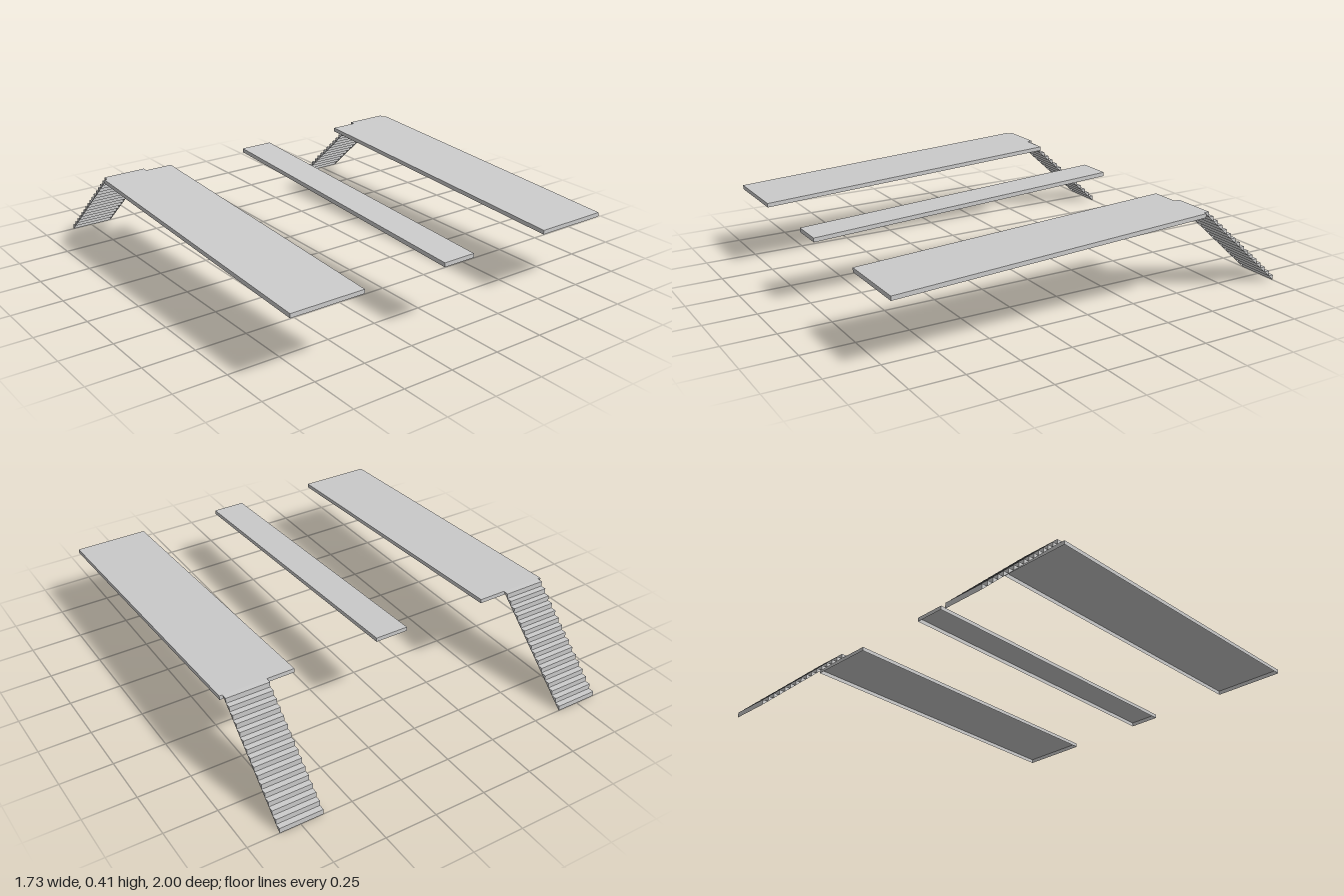
import * as THREE from 'three';

const material = new THREE.MeshStandardMaterial({ color: 0xcccccc, flatShading: true, side: THREE.DoubleSide });
const FRONT = 1, BACK = -0.55, TOP_FRONT = 0.335, TOP_BACK = 0.41, THICK = 0.02;
const STEPS = 16, STAIR_END = -1;

// Sloping slab, open underneath: a box without its bottom, sheared along z
function makeSlab(name, x0, x1) {
  const geo = new THREE.BoxGeometry(x1 - x0, THICK, FRONT - BACK);
  const index = Array.from(geo.index.array);
  index.splice(18, 6); // bottom face
  geo.setIndex(index);
  geo.clearGroups();
  geo.translate((x0 + x1) / 2, -THICK / 2, (FRONT + BACK) / 2);
  const p = geo.attributes.position;
  for (let i = 0; i < p.count; i++) {
    const t = (p.getZ(i) - BACK) / (FRONT - BACK);
    p.setY(i, p.getY(i) + THREE.MathUtils.lerp(TOP_BACK, TOP_FRONT, t));
  }
  geo.computeVertexNormals();
  const mesh = new THREE.Mesh(geo, material);
  mesh.name = name;
  return mesh;
}

// Thin stair flight: folded treads and risers with triangular cheeks
function makeStairs(name, x0, x1) {
  const v = [];
  const tri = (...pts) => pts.forEach((q) => v.push(...q));
  const run = (STAIR_END - BACK) / STEPS, rise = TOP_BACK / STEPS;
  for (let i = 0; i < STEPS; i++) {
    const z0 = BACK + i * run, z1 = z0 + run;
    const y0 = TOP_BACK - i * rise, y1 = Math.max(0, y0 - rise);
    const [a, b, c] = [[x0, y0, z0], [x0, y0, z1], [x0, y1, z1]];
    const [d, e, f] = [[x1, y0, z0], [x1, y0, z1], [x1, y1, z1]];
    tri(a, d, e, a, e, b); // tread
    tri(b, e, f, b, f, c); // riser
    tri(a, b, c, d, f, e); // cheeks
  }
  const geo = new THREE.BufferGeometry();
  geo.setAttribute('position', new THREE.Float32BufferAttribute(v, 3));
  geo.computeVertexNormals();
  const mesh = new THREE.Mesh(geo, material);
  mesh.name = name;
  return mesh;
}

export function createModel() {
  const group = new THREE.Group();
  group.name = 'platforms';
  group.add(makeSlab('centreWalkway', -0.082, 0.082));
  // Side platforms, each with a flight of stairs at the back
  for (const [side, s] of [['left', 1], ['right', -1]]) {
    const span = (a, b) => (s > 0 ? [a, b] : [-b, -a]);
    group.add(makeSlab(side + 'Platform', ...span(0.505, 0.865)));
    group.add(makeStairs(side + 'Stairs', ...span(0.64, 0.85)));
  }
  return group;
}
